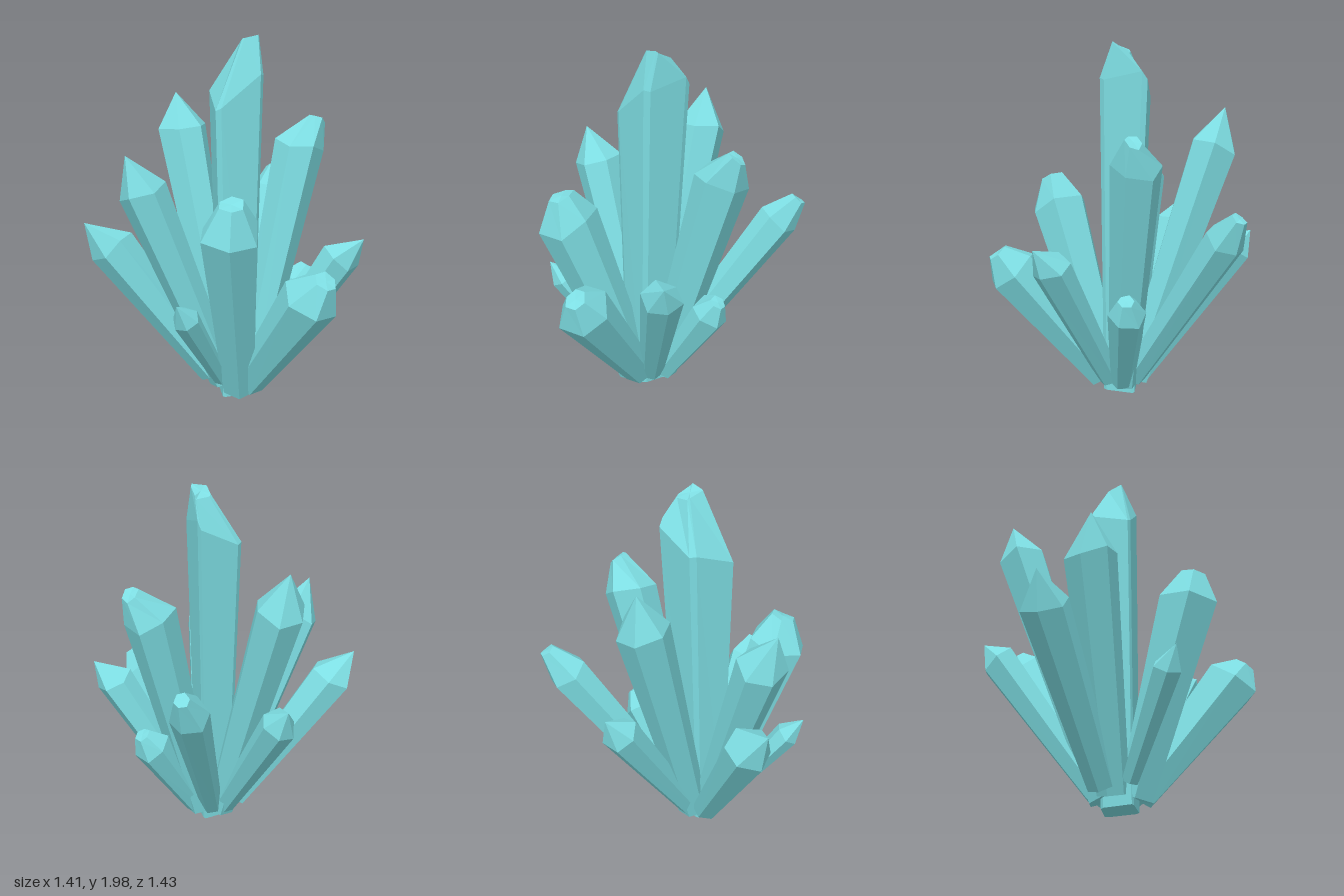
import * as THREE from 'three';

const DEG = Math.PI / 180;
const HEX = [0, 57, 118, 180, 239, 300];
const CHAMFERED = [-5, 6, 85, 95, 174, 186, 265, 275];

// Each crystal: base centre, shoulder centre, tip, shoulder radius r,
// blunt tip radius (0 = pointed), twist in degrees, width factor across x,
// slopes of the shoulder and tip planes
const CRYSTALS = [
  { name: 'mainCrystal', base: [0, 0.015, 0.14], shoulder: [-0.015, 1.73, 0.1], tip: [0.04, 1.96, 0.055], r: 0.185, tipR: 0.065, angles: CHAMFERED, width: 0.83, shoulderTilt: [0.33, 0, -0.5], tipTilt: [0.4, 0, 0.3], taper: 0.68 },
  { name: 'tallRightCrystal', base: [-0.07, 0.07, 0.1], shoulder: [-0.475, 1.425, -0.1], tip: [-0.53, 1.63, -0.12], r: 0.14, twist: 10 },
  { name: 'frontRightCrystal', base: [-0.06, 0.08, 0.18], shoulder: [-0.365, 1.205, 0.48], tip: [-0.41, 1.4, 0.56], r: 0.135, twist: 25 },
  { name: 'leaningRightCrystal', base: [-0.125, 0.11, 0.18], shoulder: [-0.6, 0.86, 0.45], tip: [-0.7, 1, 0.55], r: 0.125, twist: 15 },
  { name: 'frontCrystal', base: [0.055, 0.07, 0.2], shoulder: [0.185, 1.06, 0.53], tip: [0.21, 1.22, 0.555], r: 0.165, tipR: 0.07, twist: 5 },
  { name: 'smallFrontCrystal', base: [-0.02, 0.13, 0.27], shoulder: [-0.02, 0.6, 0.625], tip: [-0.02, 0.7, 0.71], r: 0.075, twist: 0 },
  { name: 'leaningLeftCrystal', base: [0.1, 0.1, 0.17], shoulder: [0.56, 0.735, 0.365], tip: [0.645, 0.845, 0.385], r: 0.15, tipR: 0.06, twist: 0 },
  { name: 'sideLeftCrystal', base: [0.1, 0.1, 0.1], shoulder: [0.54, 0.83, -0.04], tip: [0.66, 0.94, -0.07], r: 0.11, twist: 30 },
  { name: 'backLeftCrystal', base: [0.04, 0.08, 0.05], shoulder: [0.17, 1.36, -0.295], tip: [0.24, 1.5, -0.375], r: 0.15, tipR: 0.05, twist: 28, width: 0.88, tipTilt: [0, 0, 0.4] },
  { name: 'backCrystal', base: [-0.03, 0.1, 0.05], shoulder: [-0.185, 0.98, -0.575], tip: [-0.195, 1.115, -0.685], r: 0.115, tipR: 0.045, twist: 32, width: 0.9 },
  { name: 'lowRightCrystal', base: [-0.1, 0.1, 0.08], shoulder: [-0.53, 0.84, -0.22], tip: [-0.6, 0.95, -0.28], r: 0.1, twist: 12 },
  { name: 'lowBackLeftCrystal', base: [0.06, 0.09, 0.03], shoulder: [0.2, 0.575, -0.25], tip: [0.235, 0.66, -0.295], r: 0.105, tipR: 0.045, twist: 22 },
];

// Faceted shaft widening from the base to the shoulder, closed by a skewed tip
function crystalGeometry({ base, shoulder, tip, r, tipR = 0, twist = 0, angles = HEX, width = 1, shoulderTilt = [0, 0, 0], tipTilt = [0, 0, 0], taper = 0.6 }) {
  const b = new THREE.Vector3(...base);
  const s = new THREE.Vector3(...shoulder);
  const t = new THREE.Vector3(...tip);
  const axis = s.clone().sub(b).normalize();
  const u = new THREE.Vector3(1, 0, 0).addScaledVector(axis, -axis.x).normalize();
  const v = u.clone().cross(axis);

  // Ring of corners around the axis, with slight irregularity along it
  const ring = (centre, radius, tilt, jag) => angles.map((deg, i) => {
    const a = (deg + twist) * DEG;
    const wobble = radius * (1 + 0.04 * Math.sin(i * 2.4 + twist));
    const radial = u.clone().multiplyScalar(Math.cos(a) * width).addScaledVector(v, Math.sin(a)).multiplyScalar(wobble);
    const slide = radial.dot(tilt) + jag * r * Math.sin(i * 1.9 + twist);
    return centre.clone().add(radial).addScaledVector(axis, slide);
  });

  const rings = [
    ring(b, r * taper, new THREE.Vector3(), 0),
    ring(s, r, new THREE.Vector3(...shoulderTilt), 0.14),
  ];
  if (tipR > 0) rings.push(ring(t, tipR, new THREE.Vector3(...tipTilt), 0.04));

  const points = [];
  const tri = (...corners) => corners.forEach((p) => points.push(p.x, p.y, p.z));
  const n = angles.length;
  const last = rings[rings.length - 1];
  for (let i = 0; i < n; i++) {
    const j = (i + 1) % n;
    for (let k = 0; k < rings.length - 1; k++) {
      tri(rings[k][i], rings[k + 1][i], rings[k + 1][j]);
      tri(rings[k][i], rings[k + 1][j], rings[k][j]);
    }
    tri(last[i], t, last[j]);
    tri(rings[0][j], b, rings[0][i]);
  }
  const geometry = new THREE.BufferGeometry();
  geometry.setAttribute('position', new THREE.Float32BufferAttribute(points, 3));
  geometry.computeVertexNormals();
  return geometry;
}

export function createModel() {
  const group = new THREE.Group();
  group.name = 'crystalCluster';
  const material = new THREE.MeshStandardMaterial({ color: 0x7ddde2, flatShading: true });
  for (const spec of CRYSTALS) {
    const mesh = new THREE.Mesh(crystalGeometry(spec), material);
    mesh.name = spec.name;
    group.add(mesh);
  }
  return group;
}
